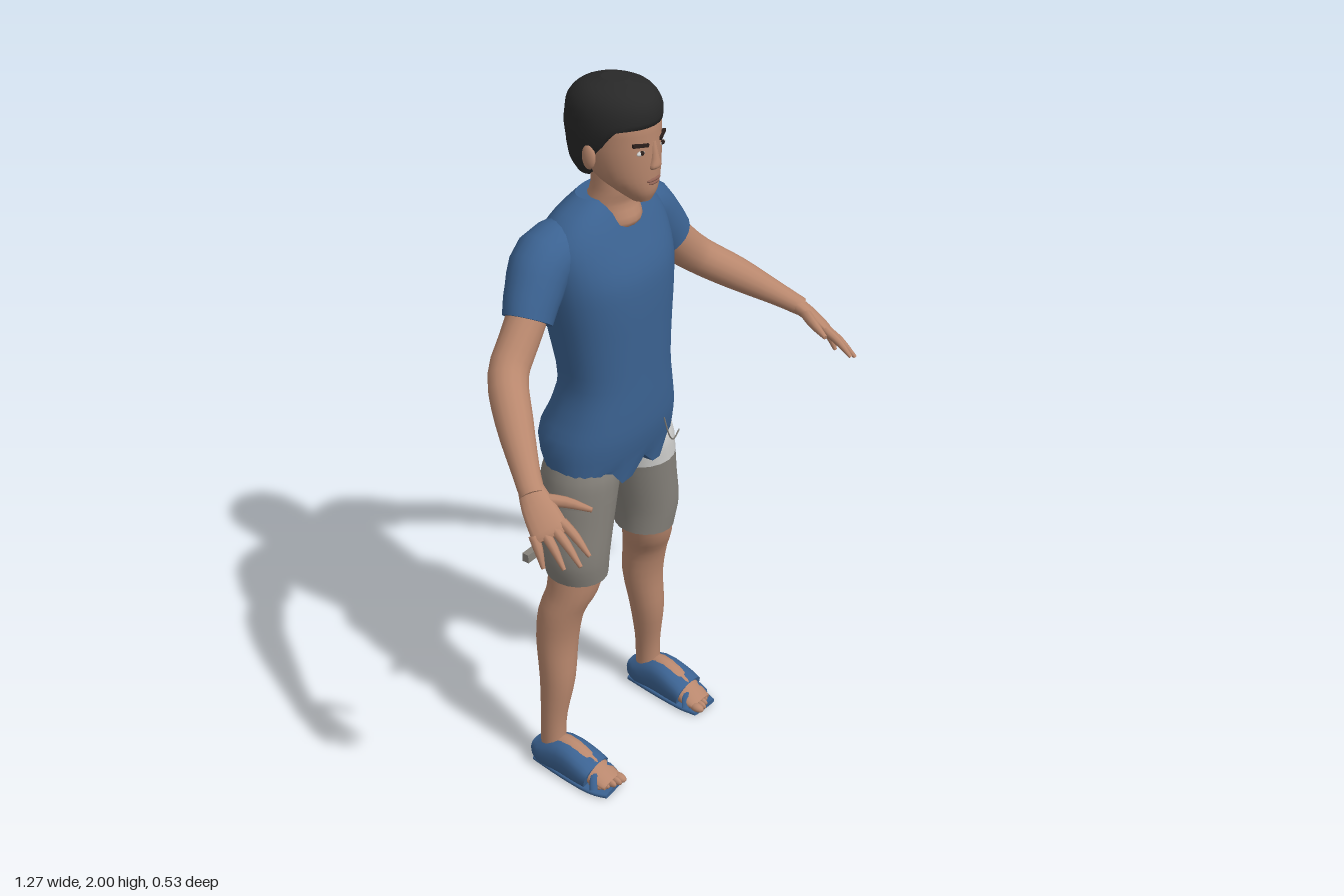
import * as THREE from 'three';

const mat = (name, color) => Object.assign(new THREE.MeshStandardMaterial({ color }), { name });
const V = (x, y, z) => new THREE.Vector3(x, y, z);

// Smooth loft through rings [x, y, z, halfU, halfV].
// Without ref the rings are level; with ref they follow the path. side -1 mirrors in x.
function loft(name, material, rings, { ref, side = 1, n = 20, steps = 3, power = 1, warp } = {}) {
  const path = new THREE.CatmullRomCurve3(rings.map(r => V(r[0], r[1], r[2])), false, 'catmullrom');
  const size = new THREE.CatmullRomCurve3(rings.map(r => V(r[3], r[4], 0)), false, 'catmullrom');
  const rows = (rings.length - 1) * steps, pos = [], idx = [];
  const bend = c => Math.sign(c) * Math.abs(c) ** power;
  const put = p => { if (warp) warp(p); pos.push(p.x * side, p.y, p.z); };
  const tri = (a, b, c) => (side > 0 ? idx.push(a, b, c) : idx.push(a, c, b));
  const ring = i => {
    const t = i / rows, c = path.getPoint(t), s = size.getPoint(t);
    const T = ref ? path.getTangent(t) : V(0, 1, 0);
    const v = (ref ? ref.clone() : V(0, 0, 1));
    v.addScaledVector(T, -v.dot(T)).normalize();
    const u = T.clone().cross(v);
    for (let j = 0; j < n; j++) {
      const a = j / n * Math.PI * 2;
      put(c.clone().addScaledVector(u, bend(Math.cos(a)) * s.x).addScaledVector(v, bend(Math.sin(a)) * s.y));
    }
    return c;
  };
  for (let i = 0; i <= rows; i++) ring(i);
  for (let i = 0; i < rows; i++) for (let j = 0; j < n; j++) {
    const k = (j + 1) % n, a = i * n + j, b = i * n + k;
    tri(a, a + n, b);
    tri(b, a + n, b + n);
  }
  // flat end caps with their own vertices
  for (const i of [0, rows]) {
    const base = pos.length / 3, c = ring(i);
    put(c);
    for (let j = 0; j < n; j++) {
      const k = (j + 1) % n;
      if (i === 0) tri(base + n, base + j, base + k); else tri(base + n, base + k, base + j);
    }
  }
  const g = new THREE.BufferGeometry();
  g.setAttribute('position', new THREE.Float32BufferAttribute(pos, 3));
  g.setIndex(idx);
  g.computeVertexNormals();
  const m = new THREE.Mesh(g, material);
  m.name = name;
  return m;
}

function ball(name, material, x, y, z, sx, sy, sz) {
  const g = new THREE.SphereGeometry(1, 14, 10).scale(sx, sy, sz);
  const m = new THREE.Mesh(g, material);
  m.name = name;
  m.position.set(x, y, z);
  return m;
}

export function createModel() {
  const skin = mat('skin', 0xb8876d), shirt = mat('shirt blue', 0x3b6291), shorts = mat('shorts grey', 0x85817a);
  const pale = mat('pale grey', 0xcfcfcd), hair = mat('hair black', 0x282828), dark = mat('dark brown', 0x2b1f1b);
  const lip = mat('lip', 0x8f6153);
  const model = new THREE.Group();
  model.name = 'man';
  const add = (...m) => model.add(...m);

  // Shirt body with an uneven hem
  add(loft('shirtBody', shirt, [
    [0, 0.95, -0.115, 0.208, 0.108], [0, 1.05, -0.125, 0.21, 0.14], [0, 1.13, -0.108, 0.187, 0.128],
    [0, 1.22, -0.097, 0.168, 0.117], [0, 1.34, -0.107, 0.18, 0.127], [0, 1.44, -0.117, 0.195, 0.137],
    [0, 1.52, -0.125, 0.203, 0.137], [0, 1.6, -0.135, 0.2, 0.115], [0, 1.66, -0.132, 0.155, 0.085],
    [0, 1.705, -0.125, 0.082, 0.055],
  ], { n: 36, power: 0.88, warp: p => {
    if (p.y < 0.96) p.y += 0.03 * Math.cos(p.x * 48) * (p.z > -0.1 ? 1 : 0.4);
  } }));

  // Neck, showing as a bare patch at the collar
  add(loft('neck', skin, [
    [0, 1.62, -0.11, 0.07, 0.066], [0, 1.645, -0.104, 0.074, 0.079], [0, 1.69, -0.102, 0.07, 0.062],
    [0, 1.73, -0.09, 0.063, 0.058], [0, 1.8, -0.09, 0.062, 0.058],
  ]));

  // Head
  add(loft('head', skin, [
    [0, 1.71, -0.012, 0.026, 0.026], [0, 1.735, -0.03, 0.05, 0.056], [0, 1.77, -0.055, 0.076, 0.084],
    [0, 1.82, -0.075, 0.091, 0.105], [0, 1.87, -0.085, 0.098, 0.113], [0, 1.92, -0.09, 0.099, 0.113],
    [0, 1.97, -0.09, 0.07, 0.08],
  ], { n: 28 }));
  add(loft('nose', skin, [
    [0, 1.797, 0.028, 0.014, 0.006], [0, 1.805, 0.03, 0.019, 0.013], [0, 1.825, 0.028, 0.012, 0.012],
    [0, 1.865, 0.022, 0.008, 0.008],
  ], { n: 10 }));
  add(ball('upperLip', lip, 0, 1.769, 0.026, 0.026, 0.005, 0.007));
  add(ball('lowerLip', lip, 0, 1.761, 0.026, 0.02, 0.005, 0.007));

  // Hair cap, trimmed high over the face and low at the nape
  add(loft('hair', hair, [
    [0, 1.765, -0.128, 0.068, 0.058], [0, 1.8, -0.12, 0.09, 0.082], [0, 1.85, -0.105, 0.103, 0.107],
    [0, 1.9, -0.094, 0.108, 0.122], [0, 1.95, -0.09, 0.1, 0.117], [0, 1.982, -0.088, 0.074, 0.085],
    [0, 1.998, -0.088, 0.03, 0.035],
  ], { n: 28, warp: p => {
    const line = 1.76 + 0.145 * THREE.MathUtils.smoothstep(p.z, -0.13, -0.01);
    const lump = 1 + 0.012 * Math.sin(p.y * 90 + p.z * 60) * Math.sin(p.x * 70);
    p.x *= lump;
    p.y = Math.max(p.y, line);
  } }));

  for (const s of [1, -1]) {
    const side = s > 0 ? 'left' : 'right';
    const limb = (name, m, rings, o = {}) => add(loft(side + name, m, rings, { side: s, ...o }));
    const fwd = V(0, 0, 1), up = V(0, 1, 0), across = V(-0.77, 0.33, 0.55);

    // Face details
    const brow = new THREE.Mesh(new THREE.BoxGeometry(0.042, 0.008, 0.008), dark);
    brow.name = side + 'Eyebrow';
    brow.position.set(s * 0.042, 1.866, 0.0185);
    brow.rotation.set(0, s * 0.4, s * 0.12);
    add(brow);
    add(ball(side + 'EyeWhite', pale, s * 0.04, 1.846, 0.018, 0.015, 0.006, 0.006));
    add(ball(side + 'Iris', dark, s * 0.04, 1.847, 0.021, 0.007, 0.006, 0.005));
    add(ball(side + 'Ear', skin, s * 0.1, 1.83, -0.09, 0.011, 0.032, 0.019));

    // Sleeve and bare arm
    limb('Sleeve', shirt, [
      [0.08, 1.59, -0.145, 0.075, 0.075], [0.185, 1.575, -0.16, 0.08, 0.08],
      [0.245, 1.515, -0.15, 0.074, 0.07], [0.285, 1.458, -0.138, 0.067, 0.06],
    ], { ref: fwd });
    limb('Arm', skin, [
      [0.24, 1.52, -0.145, 0.05, 0.05], [0.32, 1.425, -0.135, 0.054, 0.05], [0.39, 1.36, -0.115, 0.05, 0.05],
      [0.46, 1.3, -0.04, 0.045, 0.046], [0.53, 1.235, 0.05, 0.031, 0.034], [0.565, 1.2, 0.1, 0.025, 0.03],
    ], { ref: across, n: 16 });

    // Hand with four fingers and a thumb
    limb('Palm', skin, [
      [0.55, 1.218, 0.075, 0.023, 0.028], [0.572, 1.183, 0.12, 0.02, 0.04],
      [0.588, 1.145, 0.165, 0.016, 0.046], [0.593, 1.132, 0.178, 0.008, 0.04],
    ], { ref: across, n: 14 });
    [[0.565, 1.1, 0.265], [0.594, 1.085, 0.262], [0.613, 1.073, 0.228], [0.628, 1.064, 0.178]].forEach((tip, i) => {
      const k = 0.036 - i * 0.024, root = [0.588 - 0.77 * k, 1.147 + 0.33 * k, 0.162 + 0.55 * k];
      const mid = root.map((c, a) => (c + tip[a]) / 2 + (a === 1 ? 0.006 : 0));
      limb('Finger' + (i + 1), skin, [[...root, 0.013, 0.013], [...mid, 0.011, 0.011], [...tip, 0.005, 0.005]],
        { ref: across, n: 8 });
    });
    limb('Thumb', skin, [
      [0.562, 1.195, 0.11, 0.016, 0.016], [0.525, 1.188, 0.165, 0.013, 0.014], [0.499, 1.175, 0.222, 0.006, 0.006],
    ], { ref: up, n: 8 });

    // Shorts leg; the left one has a pale band at the top
    limb('ShortsLeg', shorts, [
      [0.148, 0.648, -0.115, 0.079, 0.086], [0.153, 0.72, -0.116, 0.089, 0.095],
      [0.137, 0.82, -0.12, 0.094, 0.102], [0.126, 0.89, -0.122, 0.099, 0.106],
    ]);
    limb('ShortsTop', s > 0 ? pale : shorts, [
      [0.126, 0.89, -0.122, 0.099, 0.106], [0.116, 0.95, -0.12, 0.104, 0.104], [0.11, 0.99, -0.12, 0.1, 0.095],
    ]);

    // Bare leg
    limb('Leg', skin, [
      [0.22, 0.04, -0.15, 0.034, 0.04], [0.22, 0.1, -0.155, 0.033, 0.037], [0.216, 0.18, -0.153, 0.036, 0.038],
      [0.204, 0.3, -0.147, 0.048, 0.05], [0.192, 0.43, -0.153, 0.06, 0.057], [0.186, 0.53, -0.14, 0.063, 0.063],
      [0.165, 0.6, -0.118, 0.069, 0.07], [0.148, 0.68, -0.112, 0.074, 0.079],
    ]);

    // Foot and open-toed shoe
    limb('Foot', skin, [
      [0.22, 0.05, -0.18, 0.03, 0.035], [0.22, 0.062, -0.11, 0.038, 0.054], [0.218, 0.048, -0.04, 0.043, 0.043],
      [0.213, 0.032, 0.015, 0.044, 0.025], [0.212, 0.024, 0.045, 0.038, 0.014],
    ], { ref: up });
    for (let i = 0; i < 5; i++) {
      add(ball(side + 'Toe' + (i + 1), skin, s * (0.185 + i * 0.016), 0.024, 0.048 - i * i * 0.0022,
        i ? 0.009 : 0.014, 0.013, 0.024));
    }
    limb('Shoe', shirt, [
      [0.222, 0.034, -0.212, 0.03, 0.028], [0.222, 0.038, -0.18, 0.046, 0.038],
      [0.221, 0.054, -0.11, 0.05, 0.056], [0.22, 0.046, -0.05, 0.054, 0.048], [0.219, 0.036, -0.008, 0.055, 0.037],
    ], { ref: up, power: 0.75, warp: p => { p.y = Math.max(p.y, 0); } });
    limb('Sole', shirt, [
      [0.22, 0.008, -0.205, 0.035, 0.008], [0.22, 0.008, -0.1, 0.048, 0.008],
      [0.219, 0.008, 0, 0.054, 0.008], [0.214, 0.008, 0.055, 0.044, 0.008],
    ], { ref: up, power: 0.5 });
    for (const d of [1, -1]) {
      limb(d > 0 ? 'OuterStrap' : 'InnerStrap', shirt, [
        [0.216 + d * 0.05, 0.02, 0.022, 0.011, 0.005], [0.216 + d * 0.03, 0.052, 0.008, 0.011, 0.005],
        [0.217 - d * 0.012, 0.07, -0.014, 0.011, 0.005],
      ], { ref: up, n: 8 });
    }
  }

  // Loose cord at the left hip and a small tag behind the right knee
  const cord = new THREE.CatmullRomCurve3([
    V(0.06, 1.07, 0.016), V(0.075, 1.01, 0.022), V(0.11, 0.975, 0.01), V(0.17, 0.965, -0.015)]);
  const cordMesh = new THREE.Mesh(new THREE.TubeGeometry(cord, 16, 0.002, 5), shorts);
  cordMesh.name = 'drawCord';
  const tag = new THREE.Mesh(new THREE.BoxGeometry(0.045, 0.025, 0.02), shorts);
  tag.name = 'hemTag';
  tag.position.set(-0.235, 0.71, -0.2);
  add(cordMesh, tag);
  return model;
}
